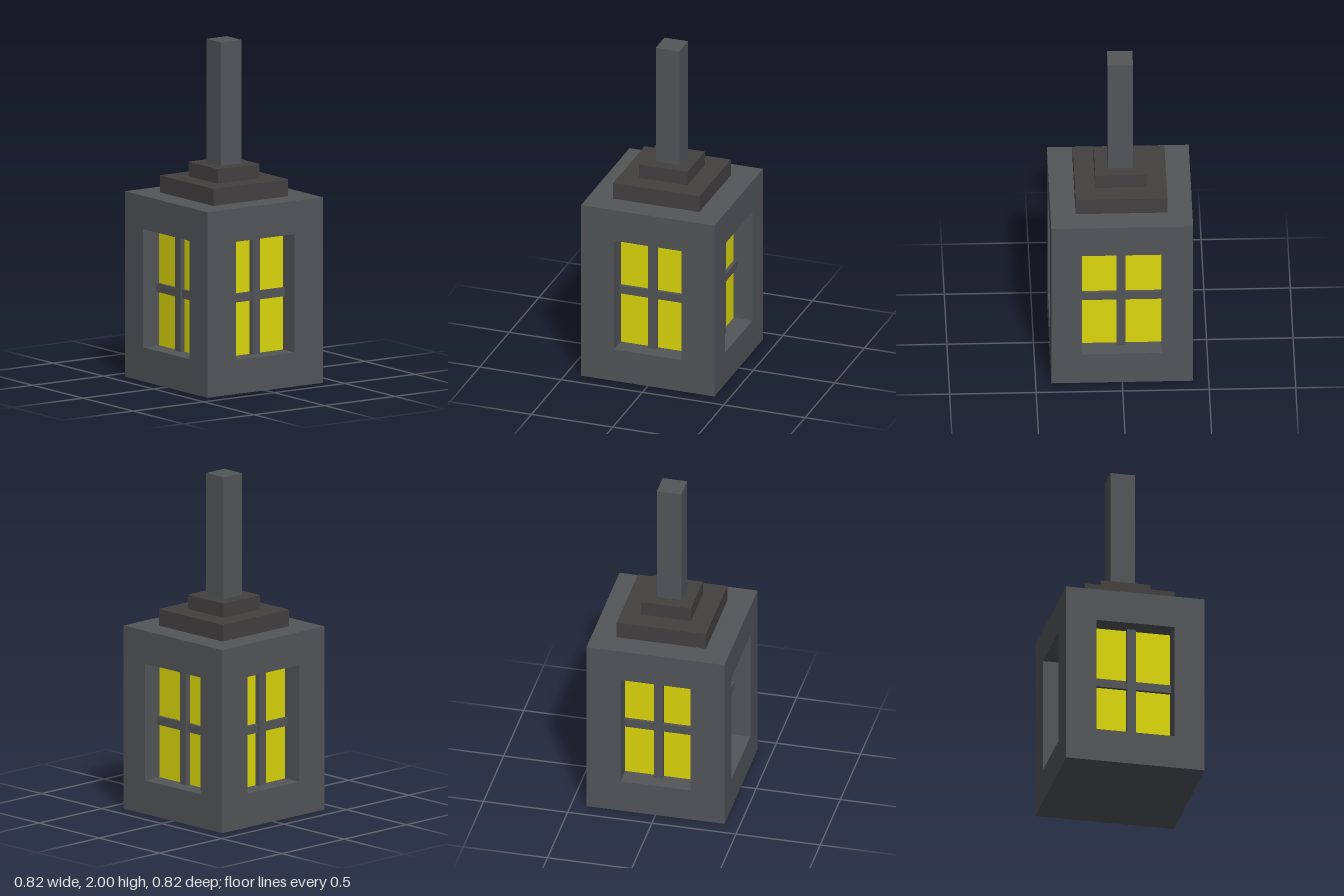
import * as THREE from 'three';

const HALF = 0.41, HEIGHT = 1.09, WALL = 0.12;
const stone = new THREE.MeshStandardMaterial({ color: 0x535558 });
const roof = new THREE.MeshStandardMaterial({ color: 0x434040 });
const glass = new THREE.MeshStandardMaterial({ color: 0xdcd80c });

// Box given by its lowest and highest corner
function box(name, material, [x0, y0, z0], [x1, y1, z1]) {
  const mesh = new THREE.Mesh(new THREE.BoxGeometry(x1 - x0, y1 - y0, z1 - z0), material);
  mesh.position.set((x0 + x1) / 2, (y0 + y1) / 2, (z0 + z1) / 2);
  mesh.name = name;
  return mesh;
}

// Square block centred on the vertical axis
const block = (name, material, half, y0, y1) =>
  box(name, material, [-half, y0, -half], [half, y1, half]);

// Wall panel with a window opening, mitred at the corners
function wallGeometry(openHalf) {
  const inner = HALF - WALL;
  const shape = new THREE.Shape([
    new THREE.Vector2(-HALF, 0), new THREE.Vector2(HALF, 0),
    new THREE.Vector2(HALF, HEIGHT), new THREE.Vector2(-HALF, HEIGHT),
  ]);
  shape.holes.push(new THREE.Path([
    new THREE.Vector2(-openHalf, 0.2), new THREE.Vector2(-openHalf, 0.895),
    new THREE.Vector2(openHalf, 0.895), new THREE.Vector2(openHalf, 0.2),
  ]));
  const geometry = new THREE.ExtrudeGeometry(shape, { depth: WALL, bevelEnabled: false });
  geometry.translate(0, 0, inner);
  const p = geometry.attributes.position;
  for (let i = 0; i < p.count; i++) {
    if (p.getZ(i) < inner + 0.01 && Math.abs(p.getX(i)) > HALF - 0.01) {
      p.setX(i, Math.sign(p.getX(i)) * inner);
    }
  }
  geometry.computeVertexNormals();
  return geometry;
}

export function createModel() {
  const model = new THREE.Group();
  model.name = 'lantern';

  // Four sides, each a wall with crossed window bars
  for (let i = 0; i < 4; i++) {
    const openHalf = i % 2 ? 0.207 : 0.231;
    const side = new THREE.Group();
    side.name = 'windowSide';
    const wall = new THREE.Mesh(wallGeometry(openHalf), stone);
    wall.name = 'wall';
    side.add(
      wall,
      box('verticalBar', stone, [-0.03, 0.2, 0.28], [0.022, 0.895, 0.325]),
      box('horizontalBar', stone, [-openHalf, 0.517, 0.28], [openHalf, 0.567, 0.315]),
    );
    side.rotation.y = i * Math.PI / 2;
    model.add(side);
  }

  // Lit core behind the bars, closed below and above
  model.add(
    block('glassCore', glass, 0.295, 0.15, 0.95),
    block('floor', stone, HALF - WALL, 0, 0.1),
    block('ceiling', stone, HALF - WALL, 1, HEIGHT),
  );

  // Stepped cap and post
  model.add(
    block('lowerCap', roof, 0.265, HEIGHT, 1.19),
    block('upperCap', roof, 0.148, 1.19, 1.275),
    block('post', stone, 0.073, 1.275, 2),
  );
  return model;
}
